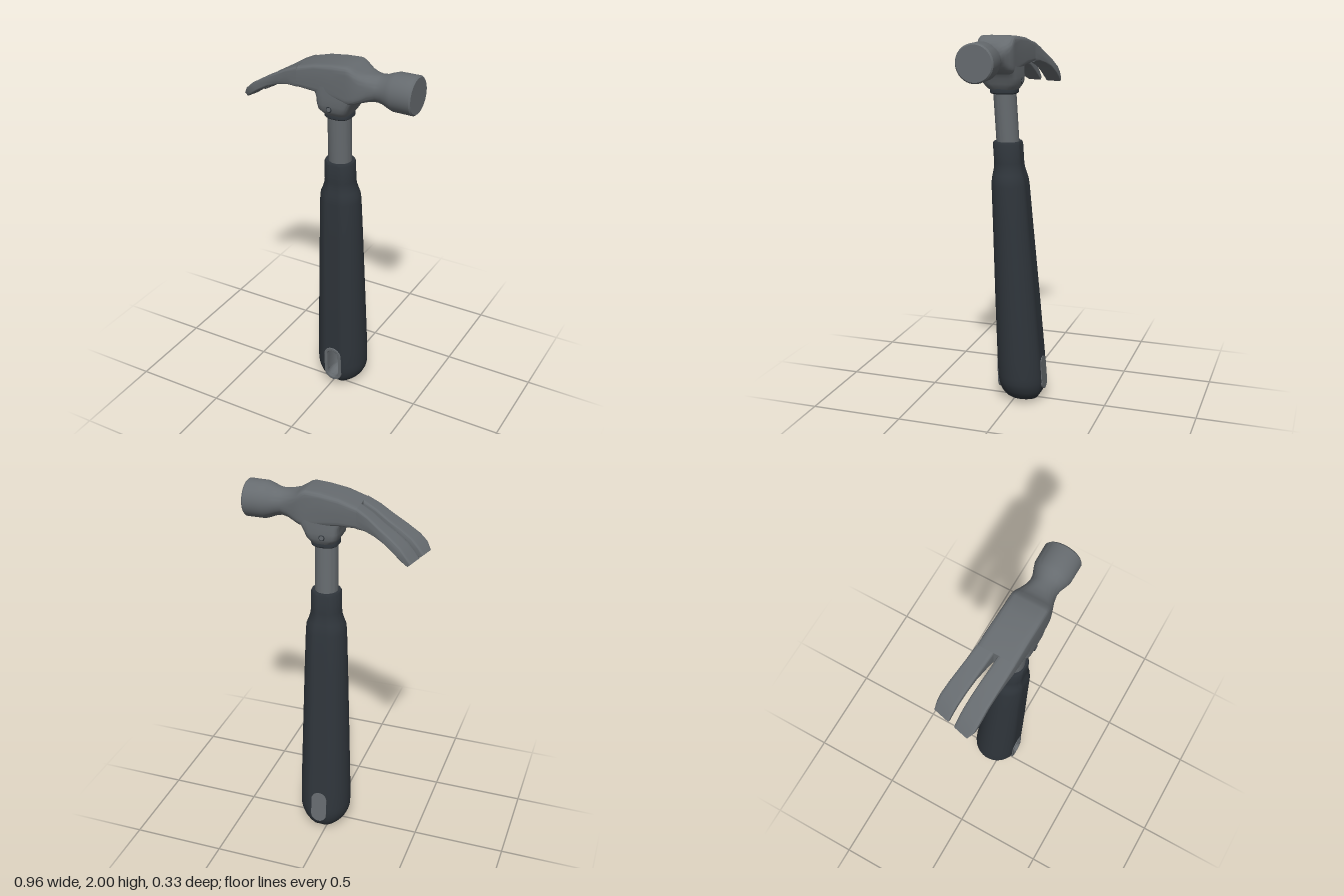
import * as THREE from 'three';
import { toCreasedNormals } from 'three/addons/utils/BufferGeometryUtils.js';

const N = 48; // points per cross-section
const steel = new THREE.MeshStandardMaterial({ color: 0x666b6f });
steel.name = 'steel';
const rubber = new THREE.MeshStandardMaterial({ color: 0x2f353b });
rubber.name = 'dark rubber';

// superellipse unit point: n = 2 is round, larger n is boxier
function unit(i, n) {
  const a = (i / N) * Math.PI * 2;
  const f = (c) => Math.sign(c) * Math.pow(Math.abs(c), 2 / n);
  return [f(Math.cos(a)), f(Math.sin(a))];
}

// skin a row of closed rings; skip(row, column) leaves a hole
function loft(rings, { capStart = true, capEnd = true, skip = null, inside = false } = {}) {
  const pts = rings.flat();
  const idx = [];
  for (let r = 0; r < rings.length - 1; r++) {
    for (let i = 0; i < N; i++) {
      if (skip && skip(r, i)) continue;
      const a = r * N + i, b = r * N + ((i + 1) % N), c = a + N, d = b + N;
      idx.push(a, b, d, a, d, c);
    }
  }
  const cap = (r, reverse) => {
    const mid = new THREE.Vector3();
    rings[r].forEach((p) => mid.addScaledVector(p, 1 / N));
    const m = pts.push(mid) - 1;
    for (let i = 0; i < N; i++) {
      const a = r * N + i, b = r * N + ((i + 1) % N);
      if (reverse) idx.push(m, b, a); else idx.push(m, a, b);
    }
  };
  if (capStart) cap(0, true);
  if (capEnd) cap(rings.length - 1, false);
  // turn all faces outward (or inward) by the sign of the enclosed volume
  const mid = new THREE.Box3().setFromPoints(pts).getCenter(new THREE.Vector3());
  const v = (k) => pts[idx[k]].clone().sub(mid);
  let volume = 0;
  for (let k = 0; k < idx.length; k += 3) volume += v(k).dot(v(k + 1).cross(v(k + 2)));
  if ((volume < 0) !== inside) idx.reverse();
  const geo = new THREE.BufferGeometry().setFromPoints(pts);
  geo.setIndex(idx);
  return toCreasedNormals(geo, 0.55);
}

// ring across the head, between a top and a bottom point, from z0 to z1
function headRing(xt, yt, xb, yb, z0, z1, n, shearMid = null) {
  return Array.from({ length: N }, (_, i) => {
    const [u, w] = unit(i, n);
    const z = (z0 + z1) / 2 + (u * (z1 - z0)) / 2;
    let x = (xt + xb) / 2 + (w * (xt - xb)) / 2;
    if (shearMid !== null) x -= 0.24 * (z - shearMid) * THREE.MathUtils.clamp((-0.14 - x) / 0.3, 0, 1);
    return new THREE.Vector3(x, (yt + yb) / 2 + (w * (yt - yb)) / 2, z);
  });
}

// horizontal ring filling an x and z range
function flatRing(y, x0, x1, z0, z1, n) {
  return Array.from({ length: N }, (_, i) => {
    const [u, w] = unit(i, n);
    return new THREE.Vector3((x0 + x1) / 2 + (u * (x1 - x0)) / 2, y, (z0 + z1) / 2 + (w * (z1 - z0)) / 2);
  });
}

// upright slot outline with round ends
function stadium(r, half, Type = THREE.Shape) {
  const s = new Type();
  s.absarc(0, half, r, 0, Math.PI, false);
  s.absarc(0, -half, r, Math.PI, Math.PI * 2, false);
  s.closePath();
  return s;
}

const axisX = (y) => 0.025 + 0.0145 * y;
const axisZ = (y) => -0.047 + 0.058 * y;

export function createModel() {
  const model = new THREE.Group();
  model.name = 'clawHammer';
  const add = (name, geo, mat, parent = model) => {
    const m = new THREE.Mesh(geo, mat);
    m.name = name;
    parent.add(m);
    return m;
  };

  // grip: rounded butt, long taper, narrow sleeve; front and back are flattened
  const profile = [];
  for (let k = 1; k <= 9; k++) {
    const a = (k / 10) * (Math.PI / 2);
    const y = 0.15 - 0.148 * Math.cos(a);
    if (Math.abs(y - 0.077) > 0.012) profile.push([y, 0.141 * Math.sin(a), 0.122 * Math.pow(Math.sin(a), 0.6)]);
  }
  profile.push([0.077, 0.122, 0.113], [0.16, 0.141, 0.122], [0.263, 0.14, 0.12], [0.6, 0.13, 0.111],
    [1.0, 0.118, 0.098], [1.22, 0.11, 0.092], [1.255, 0.106, 0.088], [1.28, 0.096, 0.082],
    [1.31, 0.086, 0.075], [1.34, 0.082, 0.073], [1.44, 0.081, 0.073], [1.45, 0.076, 0.068]);
  profile.sort((a, b) => a[0] - b[0]);
  const gripRings = profile.map(([y, hx, hz]) => Array.from({ length: N }, (_, i) => {
    const [u, w] = unit(i, 2);
    const z = THREE.MathUtils.clamp(w * hz * 1.09, -hz, hz);
    return new THREE.Vector3(axisX(y) + u * hx, y, axisZ(y) + z);
  }));
  const inSlot = (r, i) => profile[r][0] > 0.076 && profile[r + 1][0] < 0.264 && i >= N / 4 - 2 && i < N / 4 + 2;
  add('grip', loft(gripRings, { skip: inSlot }), rubber);

  // hanging slot: raised rim, hollow bowl and back plate
  const slot = new THREE.Group();
  slot.name = 'hangingSlot';
  slot.position.set(axisX(0.17), 0.17, 0.082);
  slot.rotation.x = 0.031;
  model.add(slot);
  const rim = stadium(0.052, 0.058);
  rim.holes.push(stadium(0.034, 0.058, THREE.Path));
  add('slotRim', new THREE.ExtrudeGeometry(rim, {
    depth: 0.018, bevelEnabled: true, bevelSize: 0.003, bevelThickness: 0.003, bevelOffset: -0.003, bevelSegments: 2,
  }), steel, slot).position.z = -0.013;
  const bowlRings = [[1, 0.002], [0.97, -0.03], [0.85, -0.055], [0.6, -0.072], [0.3, -0.08]].map(([s, z]) =>
    Array.from({ length: N }, (_, i) => {
      const [u, w] = unit(i + 0.5, 2);
      return new THREE.Vector3(u * 0.036 * s, w * 0.036 * s + Math.sign(w) * 0.058 * (0.6 + 0.4 * s), z);
    }));
  add('slotBowl', loft(bowlRings, { capStart: false, inside: true }), steel, slot);
  const plate = add('slotBackPlate', new THREE.ExtrudeGeometry(stadium(0.044, 0.048), { depth: 0.009, bevelEnabled: false }), steel);
  plate.position.set(axisX(0.17), 0.17, axisZ(0.17) - 0.126);
  plate.rotation.x = 0.08;

  // steel shaft
  const shaftRings = [1.4, 1.78].map((y) => {
    const x = axisX(y), z = axisZ(y);
    return flatRing(y, x - 0.061, x + 0.061, z - 0.06, z + 0.06, 2);
  });
  add('shaft', loft(shaftRings), steel);

  // dark collar under the head
  const collarRings = [[1.7, 0.066], [1.706, 0.072], [1.722, 0.072], [1.735, 0.066]].map(([y, r]) =>
    flatRing(y, 0.053 - r, 0.053 + r, 0.052 - r, 0.052 + r, 2.6));
  add('collar', loft(collarRings), rubber);

  // head body running into the waisted neck and round striking face
  const head = new THREE.Group();
  head.name = 'head';
  model.add(head);
  const body = [
    [-0.14, 1.95, 1.842, -0.055, 0.147, 8],
    [-0.04, 1.98, 1.836, -0.046, 0.153, 8],
    [0.06, 1.995, 1.82, -0.039, 0.158, 8],
    [0.135, 2.0, 1.805, -0.036, 0.16, 8],
    [0.155, 1.995, 1.806, -0.036, 0.16, 7],
    [0.178, 1.98, 1.81, -0.034, 0.158, 5.5],
    [0.205, 1.967, 1.817, -0.027, 0.151, 4],
    [0.24, 1.963, 1.824, -0.016, 0.14, 2.7],
    [0.28, 1.963, 1.825, -0.01, 0.134, 2],
    [0.31, 1.967, 1.819, -0.013, 0.138, 2],
    [0.34, 1.979, 1.806, -0.025, 0.149, 2],
    [0.37, 1.989, 1.796, -0.035, 0.159, 2],
    [0.47, 1.99, 1.795, -0.036, 0.16, 2],
    [0.478, 1.983, 1.802, -0.029, 0.153, 2],
  ];
  add('headBody', loft(body.map(([x, yt, yb, z0, z1, n]) => headRing(x, yt, x, yb, z0, z1, n))), steel, head);

  // two curved claws: top point, bottom point, back edge, slot edges, front edge
  const claws = [
    [-0.14, 1.95, -0.14, 1.842, -0.055, 0.035, 0.056, 0.147],
    [-0.205, 1.92, -0.19, 1.842, -0.066, 0.024, 0.047, 0.14],
    [-0.275, 1.877, -0.25, 1.828, -0.083, 0.008, 0.034, 0.13],
    [-0.34, 1.84, -0.31, 1.803, -0.098, -0.004, 0.024, 0.122],
    [-0.4, 1.8, -0.37, 1.764, -0.111, -0.015, 0.016, 0.117],
    [-0.435, 1.765, -0.41, 1.734, -0.115, -0.021, 0.012, 0.112],
    [-0.462, 1.728, -0.442, 1.71, -0.113, -0.025, 0.009, 0.09],
  ];
  for (const [name, a, b] of [['backClaw', 4, 5], ['frontClaw', 6, 7]]) {
    const rings = claws.map((c) => headRing(c[0], c[1], c[2], c[3], c[a], c[b], 8, (c[4] + c[7]) / 2));
    add(name, loft(rings), steel, head);
  }

  // socket that takes the shaft
  const socket = [
    [1.88, -0.05, 0.2, -0.034, 0.156, 6],
    [1.838, -0.046, 0.188, -0.037, 0.157, 6],
    [1.815, -0.038, 0.168, -0.038, 0.157, 6],
    [1.785, -0.035, 0.15, -0.04, 0.156, 6],
    [1.755, -0.032, 0.139, -0.038, 0.151, 5],
    [1.738, -0.022, 0.13, -0.031, 0.14, 4],
    [1.724, -0.01, 0.12, -0.022, 0.128, 3.5],
  ];
  add('socket', loft(socket.map((s) => flatRing(...s))), steel, head);

  // rivet on each cheek
  for (const [side, z] of [[1, 0.153], [-1, -0.039]]) {
    const rivet = new THREE.Group();
    rivet.name = side > 0 ? 'frontRivet' : 'backRivet';
    rivet.position.set(0.045, 1.766, z);
    head.add(rivet);
    add('rivetRing', new THREE.TorusGeometry(0.013, 0.003, 6, 20), rubber, rivet);
    const pin = add('rivetPin', new THREE.CylinderGeometry(0.011, 0.011, 0.008, 20), steel, rivet);
    pin.rotation.x = Math.PI / 2;
  }
  return model;
}
